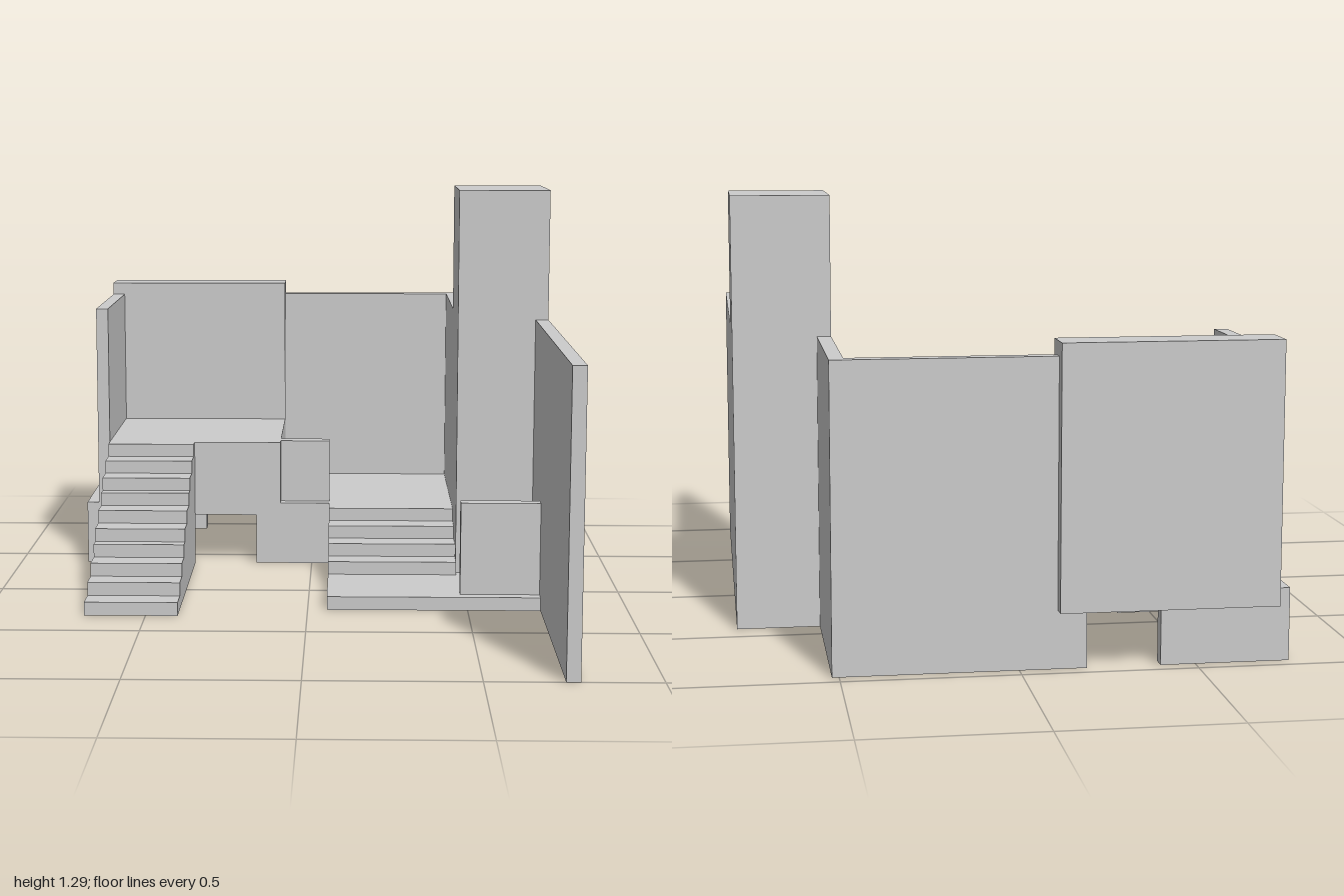
import * as THREE from 'three';

const material = new THREE.MeshStandardMaterial({ color: 0xcccccc, flatShading: true });

// Box given by its extents on each axis
function block(parent, name, [x0, x1], [y0, y1], [z0, z1]) {
  const mesh = new THREE.Mesh(new THREE.BoxGeometry(x1 - x0, y1 - y0, z1 - z0), material);
  mesh.position.set((x0 + x1) / 2, (y0 + y1) / 2, (z0 + z1) / 2);
  mesh.name = name;
  parent.add(mesh);
}

// Solid flight rising towards -z; edges lists the riser positions, then the back
function stairs(parent, name, [x0, x1], base, rise, edges) {
  const back = edges[edges.length - 1];
  const shape = new THREE.Shape();
  shape.moveTo(-back, 0);
  shape.lineTo(-edges[0], 0);
  for (let i = 0; i < edges.length - 1; i++) {
    const y = base + rise * (i + 1);
    shape.lineTo(-edges[i], y);
    shape.lineTo(-edges[i + 1], y);
  }
  const geometry = new THREE.ExtrudeGeometry(shape, { depth: x1 - x0, bevelEnabled: false });
  geometry.rotateY(Math.PI / 2); // profile x becomes -z, depth becomes +x
  geometry.translate(x0, 0, 0);
  const mesh = new THREE.Mesh(geometry, material);
  mesh.name = name;
  parent.add(mesh);
}

export function createModel() {
  const model = new THREE.Group();
  model.name = 'house';

  // Ground terrace with tower, long garden wall and low screen
  block(model, 'terraceFloor', [0.06, 0.73], [0, 0.042], [-0.415, 0.243]);
  block(model, 'tower', [0.478, 0.768], [0, 1.292], [-0.415, -0.084]);
  block(model, 'gardenWall', [0.727, 0.768], [0, 0.877], [-0.084, 1]);
  block(model, 'lowScreen', [0.478, 0.727], [0.042, 0.334], [0.163, 0.205]);
  stairs(model, 'terraceStairs', [0.06, 0.478], 0.042, 0.042,
    [-0.05, -0.13, -0.212, -0.297, -0.381]);

  // Middle room: raised floor, back wall, side wall
  block(model, 'roomFloor', [-0.19, 0.52], [0, 0.21], [-0.958, -0.381]);
  block(model, 'roomBackWall', [-0.107, 0.52], [0.21, 0.877], [-0.958, -0.917]);
  block(model, 'roomSideWall', [0.478, 0.52], [0.21, 0.877], [-0.917, -0.415]);
  block(model, 'parapet', [-0.107, 0.06], [0.21, 0.42], [-0.46, -0.418]);

  // Upper deck with its walls
  block(model, 'upperDeck', [-0.69, -0.107], [0.168, 0.42], [-0.88, -0.381]);
  block(model, 'upperBackWall', [-0.73, -0.107], [0.168, 0.918], [-1, -0.88]);
  block(model, 'upperSideWall', [-0.73, -0.69], [0.168, 0.877], [-0.88, -0.381]);

  // Low supports beneath the deck
  block(model, 'sidePlinth', [-0.77, -0.69], [0, 0.21], [-0.958, -0.381]);
  block(model, 'backPlinth', [-0.69, -0.4], [0, 0.21], [-0.958, -0.917]);
  block(model, 'deckPier', [-0.69, -0.49], [0, 0.168], [-0.65, -0.54]);

  // Long outer stairs up to the deck
  stairs(model, 'outerStairs', [-0.69, -0.4], 0, 0.042,
    [0.327, 0.243, 0.163, 0.08, 0.038, -0.046, -0.128, -0.17, -0.255, -0.339, -0.381]);

  return model;
}
